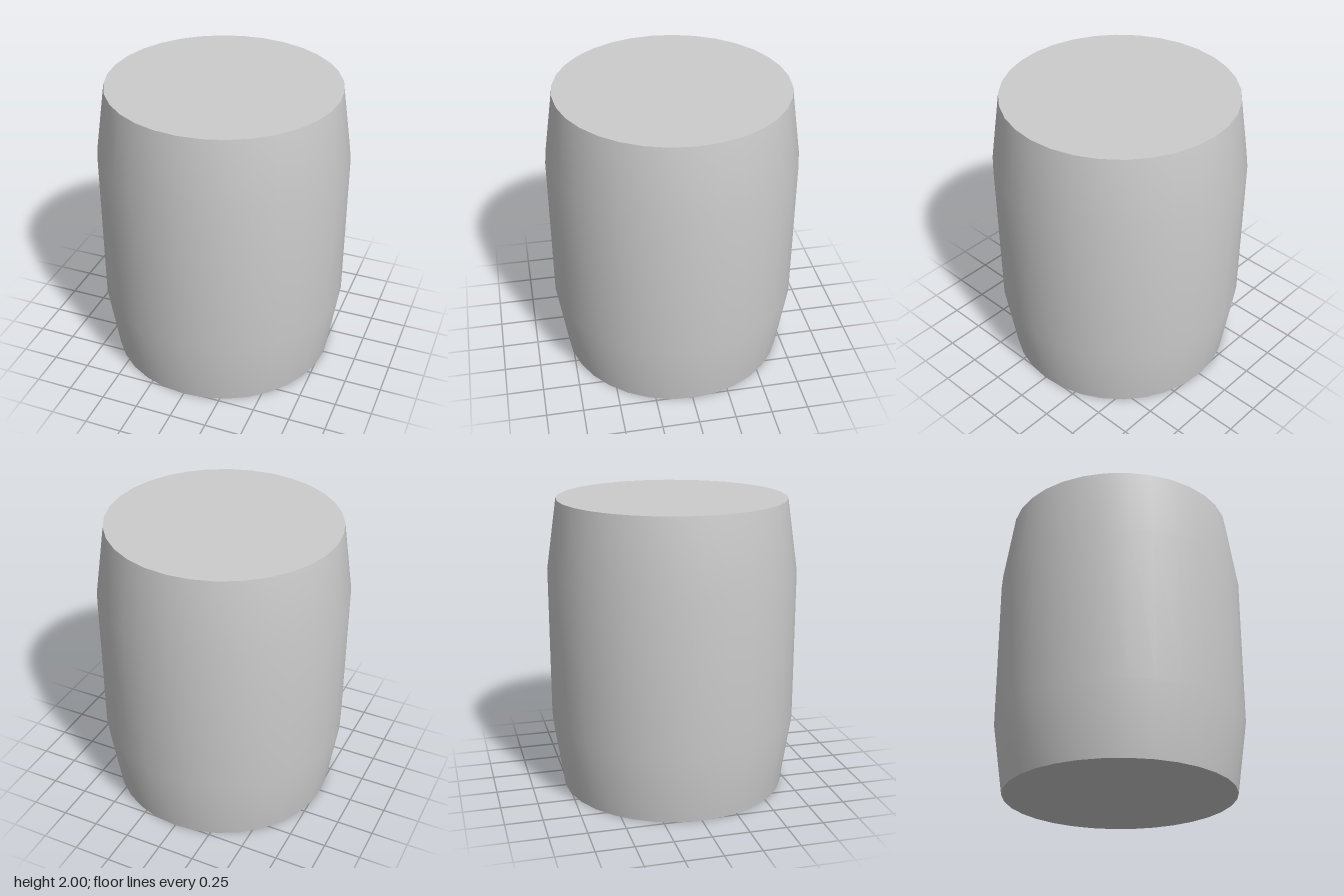
import * as THREE from 'three';

const SIDES = 32;
const END_RADIUS = 0.77;
const BELLY_RADIUS = 0.84;
const HEIGHT = 2;
const SHOULDER = 0.48; // height of the taper at each end

export function createModel() {
  const group = new THREE.Group();
  group.name = 'barrel';
  const material = new THREE.MeshStandardMaterial({ color: 0xcccccc });

  const add = (name, geometry) => {
    const mesh = new THREE.Mesh(geometry, material);
    mesh.name = name;
    group.add(mesh);
    return mesh;
  };

  // Smooth tapered wall, profile from bottom to top
  const profile = [
    [END_RADIUS, 0],
    [BELLY_RADIUS, SHOULDER],
    [BELLY_RADIUS, HEIGHT - SHOULDER],
    [END_RADIUS, HEIGHT],
  ].map(([r, y]) => new THREE.Vector2(r, y));
  add('barrelWall', new THREE.LatheGeometry(profile, SIDES));

  // Flat ends with a sharp rim
  const lid = add('topLid', new THREE.CircleGeometry(END_RADIUS, SIDES));
  lid.rotation.x = -Math.PI / 2;
  lid.position.y = HEIGHT;

  const base = add('bottomLid', new THREE.CircleGeometry(END_RADIUS, SIDES));
  base.rotation.x = Math.PI / 2;

  return group;
}
